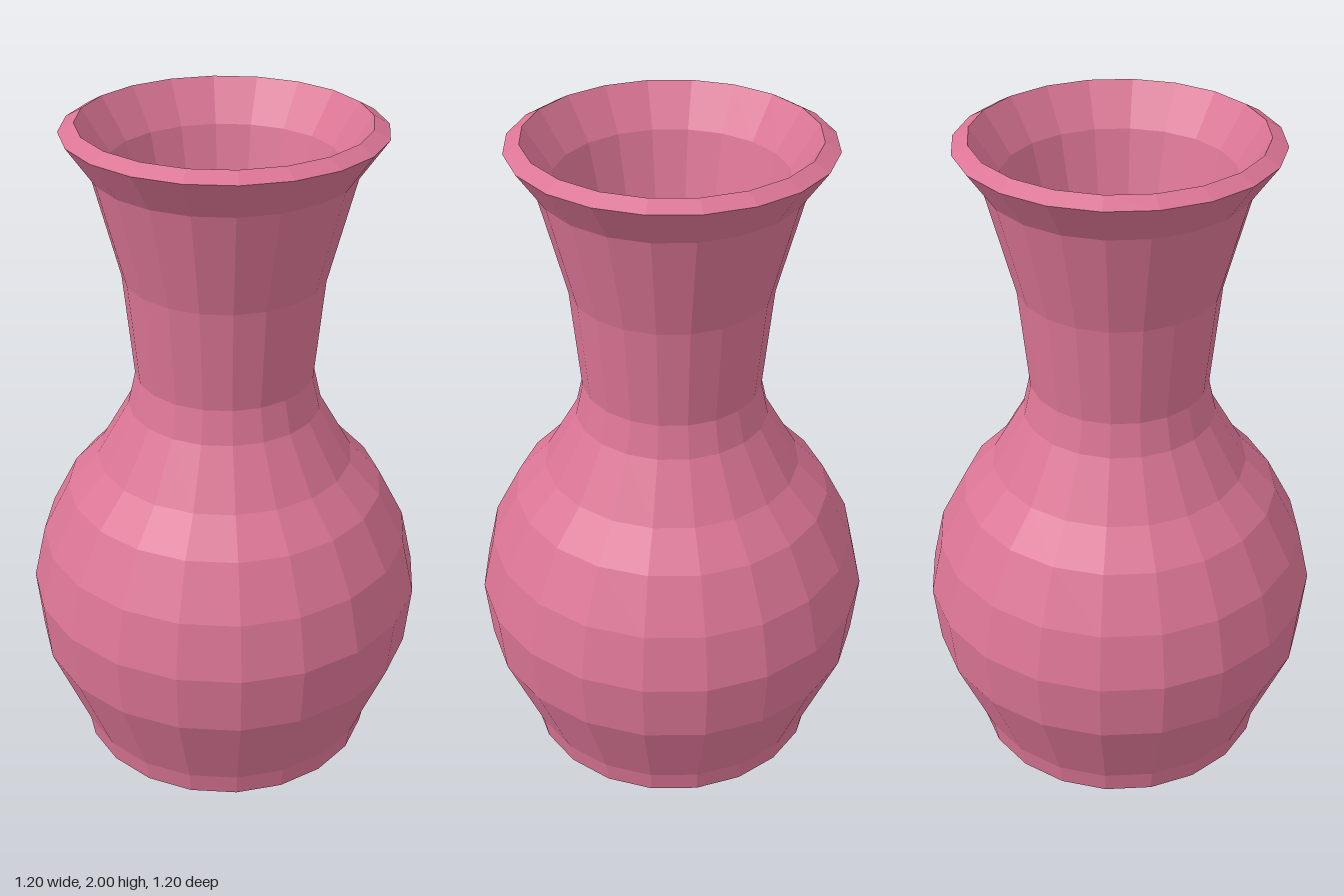
import * as THREE from 'three';

const SIDES = 20;

export function createModel() {
  const vase = new THREE.Group();
  vase.name = 'vase';

  const clay = new THREE.MeshStandardMaterial({ color: 0xdb7595, flatShading: true });

  // Turn a [radius, height] profile around the y axis
  const turn = (name, profile) => {
    const points = profile.map(([r, y]) => new THREE.Vector2(r, y));
    const mesh = new THREE.Mesh(new THREE.LatheGeometry(points, SIDES), clay);
    mesh.name = name;
    vase.add(mesh);
  };

  // Flat underside
  turn('base', [[0, 0], [0.455, 0]]);

  // Foot, round belly, narrow neck and flared mouth
  turn('outerWall', [
    [0.455, 0], [0.467, 0.07], [0.58, 0.35], [0.598, 0.54], [0.56, 0.71],
    [0.478, 0.87], [0.385, 0.97], [0.288, 1.14], [0.265, 1.24],
    [0.295, 1.55], [0.375, 1.86], [0.455, 1.975],
  ]);

  // Sloping lip
  turn('rim', [[0.455, 1.975], [0.41, 2]]);

  // Hollow inside, from the lip down to the floor
  turn('innerWall', [
    [0.41, 2], [0.33, 1.88], [0.247, 1.56], [0.215, 1.24], [0.242, 1.12],
    [0.345, 0.94], [0.435, 0.84], [0.512, 0.69], [0.548, 0.54],
    [0.532, 0.36], [0.42, 0.07],
  ]);
  turn('innerFloor', [[0.42, 0.07], [0, 0.07]]);

  return vase;
}
